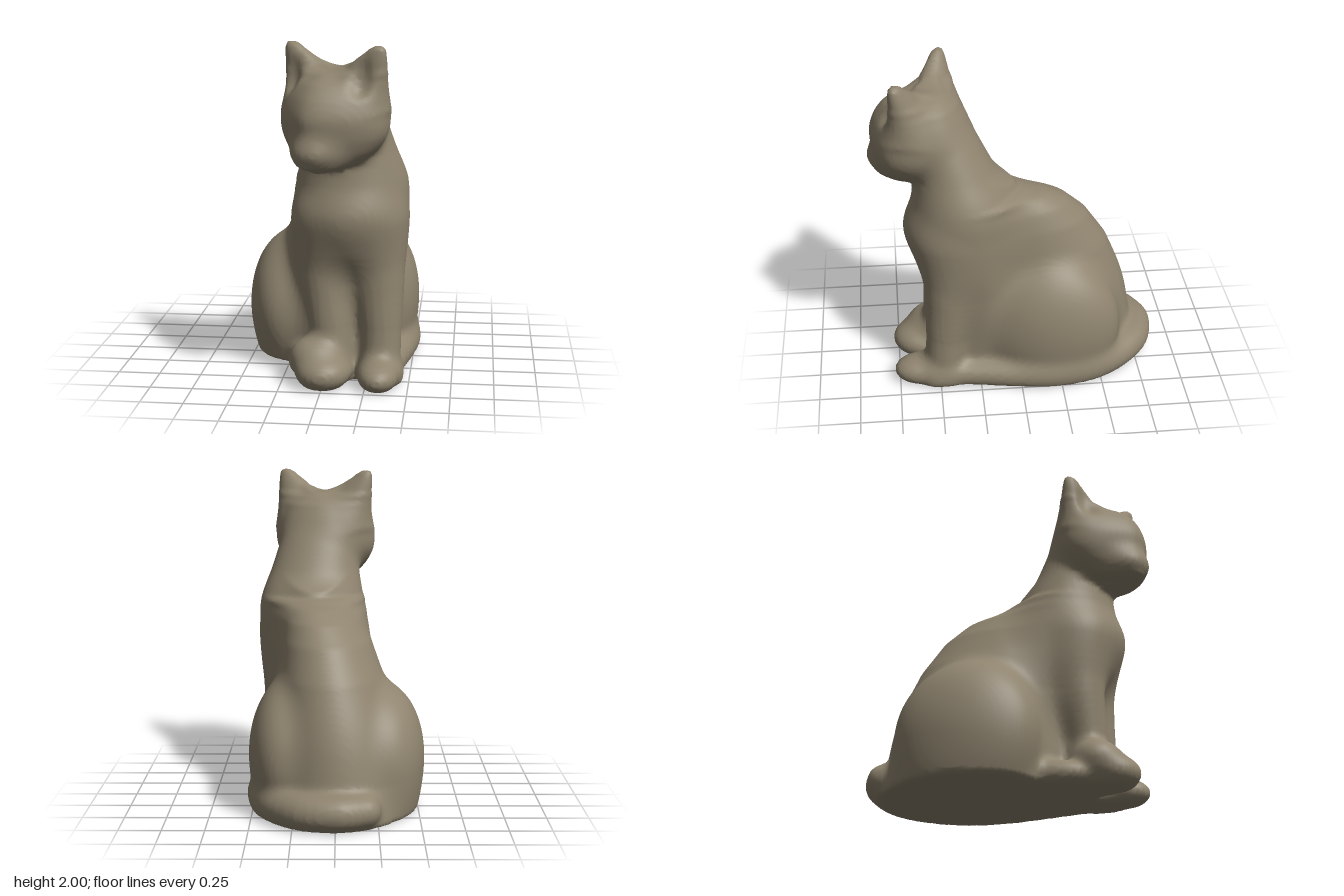
import * as THREE from 'three';

const clay = new THREE.MeshStandardMaterial({ color: 0x8f846f });
clay.name = 'clay';

// Every part is a signed distance field f(x, y, z); fuse() blends them into one smooth skin.

function spline(a, b, c, d, t) {
  return b + 0.5 * t * (c - a + t * (2 * a - 5 * b + 4 * c - d + t * (3 * (b - c) + d - a)));
}

function ellipsoid([cx, cy, cz], [rx, ry, rz]) {
  return (x, y, z) => {
    const u = (x - cx) / rx, v = (y - cy) / ry, w = (z - cz) / rz;
    const k0 = Math.hypot(u, v, w), k1 = Math.hypot(u / rx, v / ry, w / rz);
    return k1 < 1e-9 ? -Math.min(rx, ry, rz) : k0 * (k0 - 1) / k1;
  };
}

// Horizontal ellipses stacked upwards; each section is [y, centreX, radiusX, backZ, frontZ].
// taper narrows the front of each ellipse.
function loft(sections, taper = 0) {
  const last = sections.length - 1, low = sections[0][0], high = sections[last][0];
  const at = i => sections[Math.min(last, Math.max(0, i))];
  const ring = (x, y, z) => {
    const h = Math.min(high, Math.max(low, y));
    let k = 0;
    while (k < last - 1 && h > at(k + 1)[0]) k++;
    const t = (h - at(k)[0]) / (at(k + 1)[0] - at(k)[0]);
    const value = i => spline(at(k - 1)[i], at(k)[i], at(k + 1)[i], at(k + 2)[i], t);
    const back = value(3), front = value(4), rz = (front - back) / 2;
    const w = (z - (back + front) / 2) / rz;
    const rx = value(2) * (1 - taper * Math.min(1, Math.max(0, w)) ** 2);
    const u = (x - value(1)) / rx;
    const k0 = Math.hypot(u, w), k1 = Math.hypot(u / rx, w / rz);
    return k1 < 1e-9 ? -Math.min(rx, rz) : k0 * (k0 - 1) / k1;
  };
  return (x, y, z) => {
    const slope = (ring(x, y + 0.01, z) - ring(x, y - 0.01, z)) / 0.02;
    return Math.max(ring(x, y, z) / Math.hypot(1, slope), y - high, low - y);
  };
}

// Round-ended limb along a curve; each point is [x, y, z, radius].
function limb(points, samples = 20) {
  const path = new THREE.CatmullRomCurve3(points.map(p => new THREE.Vector3(p[0], p[1], p[2]))).getPoints(samples);
  const radii = path.map((p, i) => {
    const s = i / samples * (points.length - 1), k = Math.min(points.length - 2, Math.floor(s));
    return THREE.MathUtils.lerp(points[k][3], points[k + 1][3], s - k);
  });
  return (x, y, z) => {
    let best = Infinity;
    for (let i = 0; i < samples; i++) {
      const a = path[i], b = path[i + 1];
      const ex = b.x - a.x, ey = b.y - a.y, ez = b.z - a.z;
      const px = x - a.x, py = y - a.y, pz = z - a.z;
      const t = Math.min(1, Math.max(0, (px * ex + py * ey + pz * ez) / (ex * ex + ey * ey + ez * ez)));
      const d = Math.hypot(px - t * ex, py - t * ey, pz - t * ez) - radii[i] - t * (radii[i + 1] - radii[i]);
      if (d < best) best = d;
    }
    return best;
  };
}

// The head's own frame, turned towards the right
function onHead(field) {
  const c = Math.cos(-0.48), s = Math.sin(-0.48);
  return (x, y, z) => field(c * (x - 0.09) - s * (z - 0.53), y, s * (x - 0.09) + c * (z - 0.53));
}

function blendMin(a, b, k) {
  const h = Math.max(k - Math.abs(a - b), 0) / k;
  return Math.min(a, b) - h * h * k / 4;
}

// Skins the blended parts on a grid and returns one named mesh per part.
function fuse(parts, min, max, step) {
  const size = min.map((m, i) => Math.ceil((max[i] - m) / step) + 1);
  const stride = [1, size[0], size[0] * size[1]];
  const total = stride[2] * size[2];
  const place = p => [p % size[0], Math.floor(p / stride[1]) % size[1], Math.floor(p / stride[2])];
  const values = new Float32Array(total);
  for (let p = 0; p < total; p++) {
    const [x, y, z] = place(p).map((g, i) => min[i] + g * step);
    let d = Infinity;
    for (const { field, blend, carve } of parts) {
      d = carve ? -blendMin(-d, field(x, y, z), blend) : blendMin(d, field(x, y, z), blend);
    }
    values[p] = Math.max(d, -y);
  }
  // One vertex per cell that the surface crosses, at the mean of its edge crossings
  const corners = [0, 1, 2, 3, 4, 5, 6, 7].map(c => [c & 1, (c >> 1) & 1, c >> 2]);
  const vertex = new Int32Array(total).fill(-1);
  const pos = [], owner = [], solids = parts.filter(part => !part.carve);
  for (let p = 0; p < total; p++) {
    const cell = place(p);
    if (cell.some((g, i) => g >= size[i] - 1)) continue;
    const v = corners.map(c => values[p + c[0] + c[1] * stride[1] + c[2] * stride[2]]);
    const sum = [0, 0, 0];
    let hits = 0;
    for (let a = 0; a < 8; a++) {
      for (const bit of [1, 2, 4]) {
        const b = a | bit;
        if (a === b || (v[a] < 0) === (v[b] < 0)) continue;
        const t = v[a] / (v[a] - v[b]);
        for (let i = 0; i < 3; i++) sum[i] += corners[a][i] + t * (corners[b][i] - corners[a][i]);
        hits++;
      }
    }
    if (!hits) continue;
    const point = sum.map((s, i) => min[i] + step * (cell[i] + s / hits));
    const near = solids.map(part => part.field(...point));
    vertex[p] = owner.length;
    owner.push(solids[near.indexOf(Math.min(...near))].name);
    pos.push(...point);
  }
  // One quad around every grid edge that the surface crosses
  const index = [], faces = {};
  for (let p = stride[2] + stride[1] + 1; p < total - stride[2]; p++) {
    for (let a = 0; a < 3; a++) {
      const inside = values[p] < 0;
      if (inside === (values[p + stride[a]] < 0)) continue;
      const sb = stride[(a + 1) % 3], sc = stride[(a + 2) % 3];
      const q = [p - sb - sc, p - sc, p, p - sb].map(c => vertex[c]);
      if (!inside) q.reverse();
      const quad = [q[0], q[1], q[2], q[0], q[2], q[3]];
      index.push(...quad);
      (faces[owner[q[0]]] ??= []).push(...quad);
    }
  }
  const skin = new THREE.BufferGeometry();
  skin.setAttribute('position', new THREE.Float32BufferAttribute(pos, 3));
  skin.setIndex(index);
  skin.computeVertexNormals();
  return Object.entries(faces).map(([name, list]) => {
    const mesh = new THREE.Mesh(skin.clone().setIndex(list).toNonIndexed(), clay);
    mesh.name = name;
    return mesh;
  });
}

export function createModel() {
  const parts = [];
  const add = (name, blend, field, carve = false) => parts.push({ name, blend, field, carve });

  // Hindquarters and arched back
  add('rearBody', 0.05, loft([
    [-0.05, 0.00, 0.46, -0.79, 0.30], [0.08, 0.00, 0.46, -0.78, 0.30], [0.22, -0.01, 0.42, -0.74, 0.30],
    [0.50, 0.00, 0.38, -0.685, 0.30], [0.80, 0.03, 0.32, -0.57, 0.36], [1.00, 0.06, 0.275, -0.44, 0.42],
    [1.12, 0.09, 0.23, -0.315, 0.45], [1.19, 0.12, 0.17, -0.18, 0.45], [1.24, 0.13, 0.08, 0.04, 0.40],
  ]));
  // Chest rising into the neck
  add('chestAndNeck', 0.15, loft([
    [-0.05, 0.16, 0.22, 0.00, 0.47], [0.30, 0.17, 0.23, 0.00, 0.45], [0.60, 0.15, 0.28, 0.00, 0.51],
    [0.80, 0.14, 0.325, 0.00, 0.63], [1.00, 0.143, 0.34, 0.00, 0.69], [1.20, 0.15, 0.325, 0.03, 0.635],
    [1.40, 0.13, 0.275, 0.145, 0.62], [1.60, 0.10, 0.24, 0.25, 0.64], [1.78, 0.09, 0.18, 0.37, 0.62],
    [1.85, 0.09, 0.08, 0.44, 0.56],
  ]));
  // Haunches and hind foot
  add('leftHaunch', 0.13, ellipsoid([0.325, 0.33, -0.23], [0.20, 0.41, 0.38]));
  add('rightHaunch', 0.11, ellipsoid([-0.31, 0.30, -0.18], [0.23, 0.43, 0.42]));
  add('rightHindPaw', 0.05, ellipsoid([-0.13, 0.06, 0.28], [0.11, 0.09, 0.24]));

  // Front legs and paws
  add('leftFrontLeg', 0.08, limb([[0.28, 0.95, 0.42, 0.18], [0.31, 0.6, 0.425, 0.155], [0.33, 0.3, 0.46, 0.12], [0.33, 0, 0.48, 0.115]]));
  add('rightFrontLeg', 0.08, limb([[0, 0.95, 0.42, 0.18], [0, 0.6, 0.425, 0.155], [0.03, 0.3, 0.46, 0.125], [0.02, 0, 0.48, 0.13]]));
  add('leftFrontPaw', 0.08, ellipsoid([0.325, 0.07, 0.61], [0.12, 0.09, 0.17]));
  add('rightFrontPaw', 0.06, ellipsoid([0.00, 0.085, 0.61], [0.16, 0.11, 0.17]));
  add('rightPawTop', 0.06, ellipsoid([-0.05, 0.16, 0.54], [0.15, 0.115, 0.14]));

  // Tail sweeping round the left side to the front paw
  add('tail', 0.06, limb([
    [-0.17, 0.11, -0.73, 0.09], [-0.02, 0.11, -0.78, 0.10], [0.18, 0.10, -0.73, 0.10], [0.36, 0.08, -0.53, 0.09],
    [0.445, 0.07, -0.20, 0.09], [0.43, 0.065, 0.05, 0.085], [0.39, 0.06, 0.30, 0.08], [0.38, 0.05, 0.52, 0.07],
  ], 28));

  // Head with a soft muzzle
  add('head', 0.05, onHead(loft([
    [1.30, 0, 0.07, 0.00, 0.24], [1.34, 0, 0.18, -0.10, 0.31], [1.41, 0, 0.265, -0.18, 0.33],
    [1.50, 0, 0.32, -0.22, 0.345], [1.60, 0, 0.33, -0.24, 0.355], [1.70, 0, 0.30, -0.22, 0.32],
    [1.78, 0, 0.255, -0.18, 0.255], [1.84, 0, 0.19, -0.12, 0.16], [1.86, 0, 0.09, -0.05, 0.06],
  ], 0.42)));
  add('muzzle', 0.10, onHead(ellipsoid([0, 1.405, 0.24], [0.13, 0.08, 0.135])));

  // Broad pointed ears with hollowed fronts
  for (const [name, side] of [['leftEar', 1], ['rightEar', -1]]) {
    add(name, 0.08, onHead(loft([
      [1.66, side * 0.18, 0.13, -0.10, 0.15], [1.78, side * 0.185, 0.14, -0.08, 0.14],
      [1.86, side * 0.20, 0.13, -0.05, 0.12], [1.93, side * 0.245, 0.09, -0.015, 0.10],
      [1.98, side * 0.28, 0.052, 0.01, 0.085], [2.00, side * 0.29, 0.03, 0.025, 0.07],
    ])));
    add(name + 'Hollow', 0.06, onHead(ellipsoid([side * 0.235, 1.84, 0.16], [0.05, 0.10, 0.06])), true);
  }

  const cat = new THREE.Group();
  cat.name = 'sittingCat';
  cat.add(...fuse(parts, [-0.612, -0.054, -0.954], [0.612, 2.05, 0.954], 0.018));
  return cat;
}
